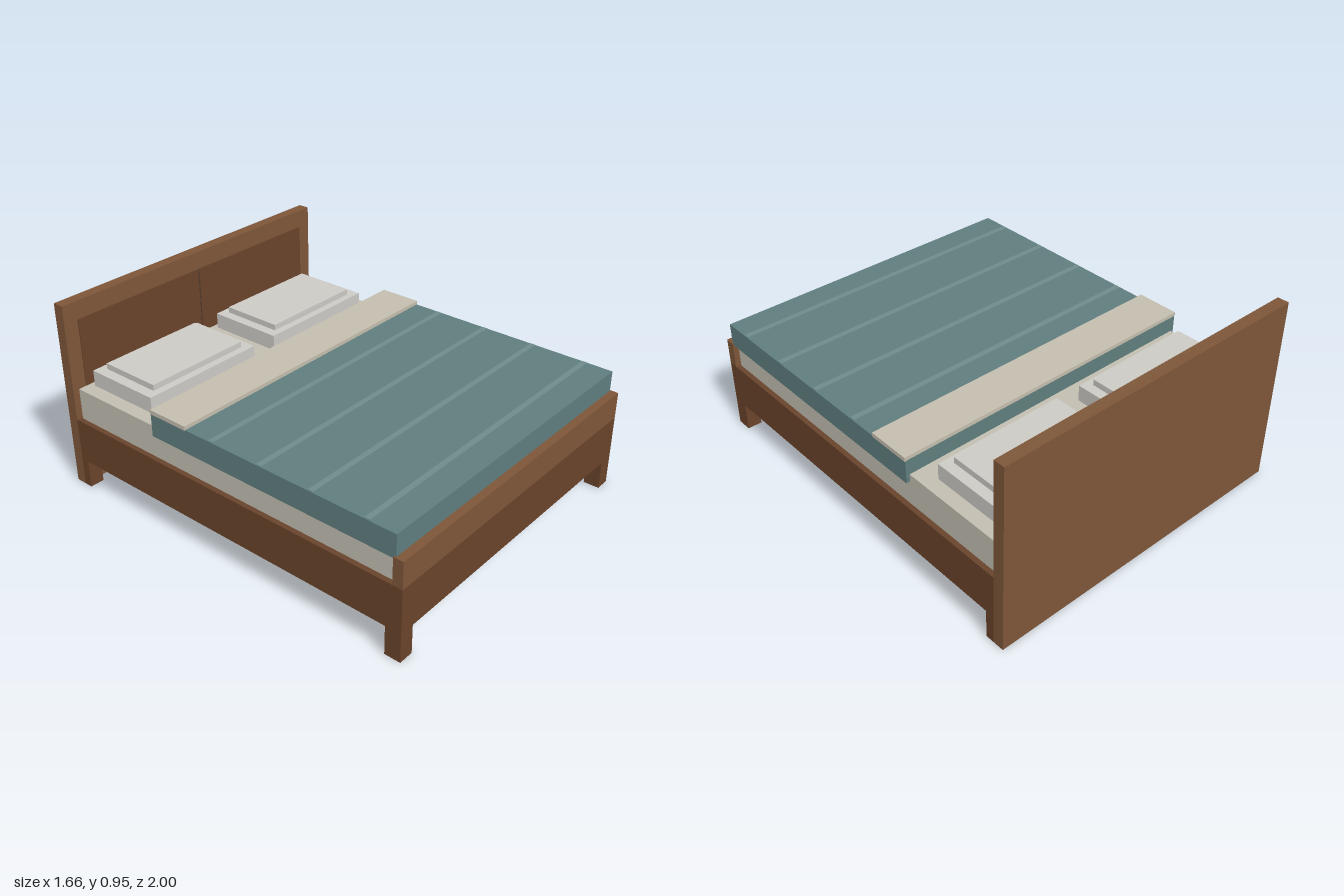
import * as THREE from 'three';

const mat = (color) => new THREE.MeshStandardMaterial({ color });

export function createModel() {
  const bed = new THREE.Group();
  bed.name = 'bed';

  const wood = mat(0x7d5639);
  const darkWood = mat(0x69432b);
  const deckWood = mat(0x503a2a);
  const linen = mat(0xc2beb1);
  const foldLinen = mat(0xc4bdae);
  const pillowCloth = mat(0xcccac5);
  const blanketCloth = mat(0x5f7d7e);
  const seamCloth = mat(0x6f8b8b);

  // Box given by its extents on each axis
  const box = (name, material, [x0, x1], [y0, y1], [z0, z1], parent = bed) => {
    const mesh = new THREE.Mesh(new THREE.BoxGeometry(x1 - x0, y1 - y0, z1 - z0), material);
    mesh.position.set((x0 + x1) / 2, (y0 + y1) / 2, (z0 + z1) / 2);
    mesh.name = name;
    parent.add(mesh);
    return mesh;
  };
  // Extents of a span on the left side or its mirror on the right
  const mirror = (side, a, b) => (side > 0 ? [a, b] : [-b, -a]);

  // Headboard with a shallow centre panel and its middle seam
  box('headboard', wood, [-0.83, 0.83], [0, 0.955], [-1, -0.943]);
  box('headboardPanel', darkWood, [-0.755, 0.755], [0.365, 0.865], [-0.95, -0.938]);
  box('headboardSeam', deckWood, [-0.003, 0.003], [0.365, 0.865], [-0.945, -0.936]);

  // Footboard over the front rail
  box('footboard', wood, [-0.83, 0.83], [0.365, 0.5], [0.95, 1]);
  box('frontRail', darkWood, [-0.83, 0.83], [0.145, 0.365], [0.935, 1]);

  // Side rails and legs
  for (const side of [1, -1]) {
    const name = side > 0 ? 'left' : 'right';
    box(name + 'SideRail', darkWood, mirror(side, 0.797, 0.83), [0.145, 0.365], [-0.943, 0.935]);
    box(name + 'FrontLeg', darkWood, mirror(side, 0.755, 0.83), [0, 0.145], [0.92, 1]);
    box(name + 'BackLeg', darkWood, mirror(side, 0.755, 0.83), [0, 0.145], [-0.943, -0.9]);
  }

  // Deck and mattress
  box('deck', deckWood, [-0.797, 0.797], [0.345, 0.363], [-0.943, 0.935]);
  box('mattress', linen, [-0.805, 0.805], [0.363, 0.525], [-0.93, 0.943]);

  // Blanket with raised seams and the folded-back sheet
  box('blanket', blanketCloth, [-0.823, 0.823], [0.487, 0.604], [-0.4, 0.96]);
  for (const z of [-0.03, 0.25, 0.53, 0.815]) {
    box('blanketSeam', seamCloth, [-0.82, 0.82], [0.6, 0.607], [z - 0.014, z + 0.014]);
  }
  box('foldedSheet', foldLinen, [-0.826, 0.826], [0.602, 0.623], [-0.4, -0.18]);

  // Two stepped pillows
  for (const side of [1, -1]) {
    const pillow = new THREE.Group();
    pillow.name = side > 0 ? 'leftPillow' : 'rightPillow';
    box('pillowBase', pillowCloth, mirror(side, 0.07, 0.735), [0.525, 0.605], [-0.9, -0.5], pillow);
    box('pillowTop', pillowCloth, mirror(side, 0.12, 0.682), [0.605, 0.635], [-0.862, -0.538], pillow);
    bed.add(pillow);
  }

  return bed;
}
